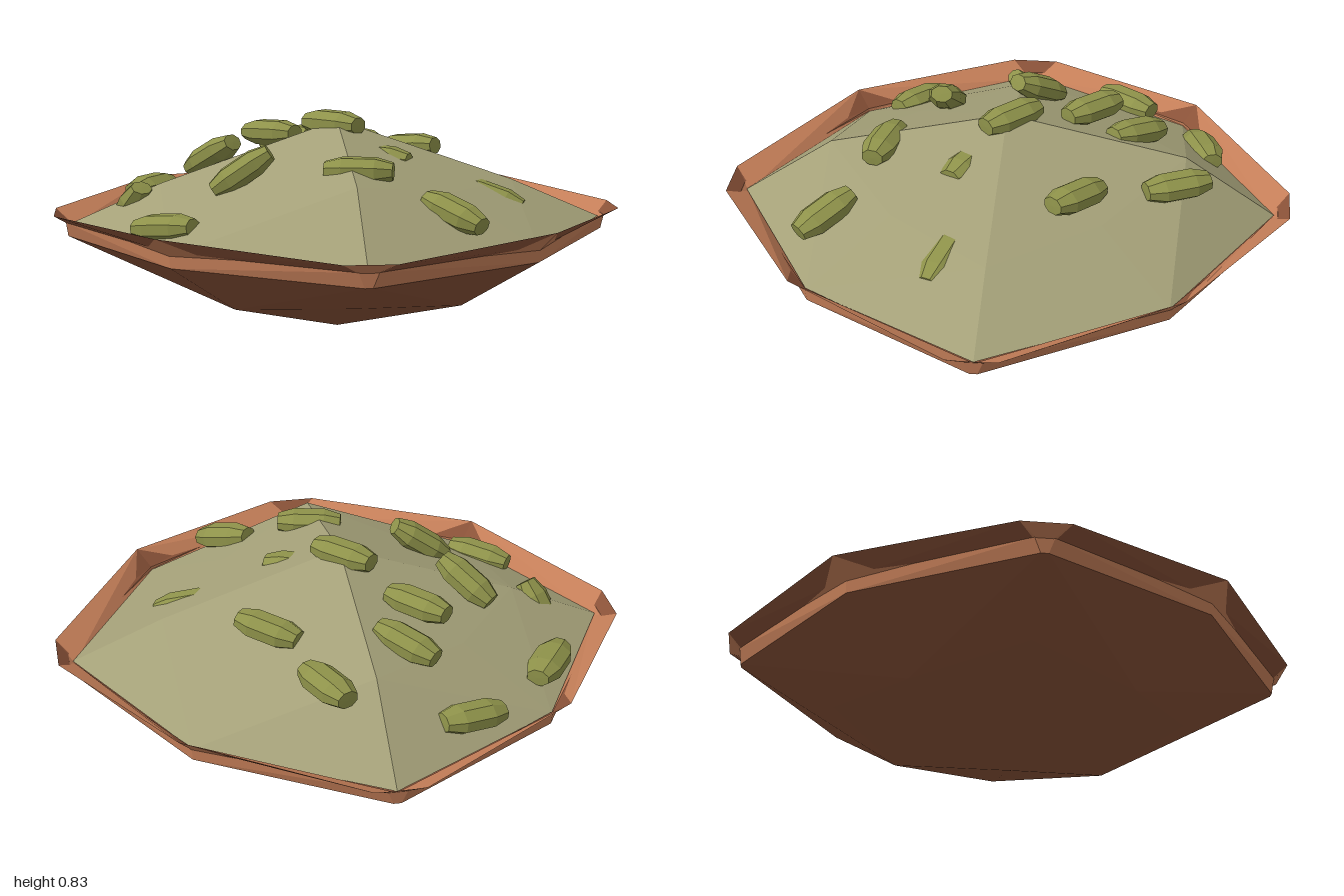
import * as THREE from 'three';

const paint = (color) => new THREE.MeshStandardMaterial({ color, flatShading: true, side: THREE.DoubleSide });

// Rounded-square ring of 12 points: four side middles and four bevelled corners.
// Corners alternate between two heights.
function ring(mid, long, short, yMid, yCorner = yMid, yOther = yCorner) {
  const pts = [];
  for (let q = 0; q < 4; q++) {
    const turn = (x, z, y) => {
      for (let k = 0; k < q; k++) [x, z] = [-z, x];
      pts.push([x, y, z * 0.98]);
    };
    const corner = q % 2 ? yOther : yCorner;
    turn(mid, 0, yMid);
    turn(long, short, corner);
    turn(short, long, corner);
  }
  return pts;
}

// Joins consecutive rings with triangles, skipping the collapsed ones
function loft(rings) {
  const pos = [];
  const same = (p, q) => p.every((v, k) => Math.abs(v - q[k]) < 1e-6);
  const tri = (a, b, c) => {
    if (!same(a, b) && !same(b, c) && !same(a, c)) pos.push(...a, ...b, ...c);
  };
  for (let r = 0; r < rings.length - 1; r++) {
    for (let i = 0; i < 12; i++) {
      const j = (i + 1) % 12;
      const a = rings[r][i], b = rings[r][j], c = rings[r + 1][j], d = rings[r + 1][i];
      // Mirror the diagonal so both halves of each side match
      if (i % 3 === 2) {
        tri(a, d, b);
        tri(b, d, c);
      } else {
        tri(a, d, c);
        tri(a, c, b);
      }
    }
  }
  const g = new THREE.BufferGeometry();
  g.setAttribute('position', new THREE.Float32BufferAttribute(pos, 3));
  g.computeVertexNormals();
  return g;
}

// Faceted pod lying along x, slightly flattened, with blunt ends
function seedGeometry() {
  const profile = [[0, -0.125], [0.044, -0.124], [0.068, -0.06], [0.068, 0.06], [0.044, 0.124], [0, 0.125]];
  const g = new THREE.LatheGeometry(profile.map(([r, y]) => new THREE.Vector2(r, y)), 8, Math.PI / 8);
  return g.rotateZ(-Math.PI / 2).scale(1, 0.75, 1);
}

export function createModel() {
  const model = new THREE.Group();
  const add = (name, geometry, material) => {
    const mesh = new THREE.Mesh(geometry, material);
    mesh.name = name;
    model.add(mesh);
    return mesh;
  };
  const brown = paint(0x8a5238);
  const clay = paint(0xc47e58);

  // Pointed bowl base
  const shoulder = ring(0.925, 0.74, 0.72, 0.37);
  const neck = ring(0.93, 0.76, 0.71, 0.425);
  const brim = ring(1, 0.83, 0.7, 0.485, 0.46);
  add('bowlBase', loft([
    ring(0, 0, 0, 0),
    ring(0.59, 0.48, 0.48, 0.165, 0.22),
    shoulder,
  ]), brown);

  // Short upright band, flared underside and lip sloping inward
  add('rimBand', loft([shoulder, neck]), clay);
  add('rimUnderside', loft([neck, brim]), brown);
  add('rimLip', loft([brim, ring(0.92, 0.72, 0.72, 0.405)]), clay);

  // Heaped filling: pyramid with two opposite corners raised
  add('mound', loft([
    ring(0.925, 0.725, 0.725, 0.415),
    ring(0.55, 0.48, 0.48, 0.58, 0.65, 0.565),
    ring(0, 0, 0, 0.8),
  ]), paint(0xa4a078));

  // Scattered seeds: x, y, z, yaw, tilt
  const seeds = [
    [-0.02, 0.785, 0, 0, 0],
    [-0.38, 0.715, -0.05, 0, 0.05],
    [-0.45, 0.665, -0.23, 0, 0.2],
    [-0.39, 0.66, 0.28, 0, 0.5],
    [-0.07, 0.65, 0.46, 0.7, 0.6],
    [0.35, 0.675, 0.3, 0.55, 0],
    [0.7, 0.55, 0.2, 0, -0.3],
    [0.02, 0.655, -0.42, 0.1, 0.1],
    [-0.34, 0.63, -0.57, -0.35, 0],
    [0.52, 0.523, -0.28, 0.4, -0.3],
    [0.19, 0.67, -0.01, 0.3, -0.05],
    [-0.76, 0.495, -0.28, 1.1, 0.1],
    [-0.8, 0.485, 0.2, -1.4, 0],
    [-0.57, 0.46, 0.54, -0.2, 0.9],
    [-0.16, 0.475, 0.77, 0.15, 0.1],
  ];
  const pod = seedGeometry();
  const green = paint(0x8e924a);
  for (const [x, y, z, yaw, tilt] of seeds) {
    const seed = add('seed', pod, green);
    seed.position.set(x, y, z);
    seed.rotation.set(0, yaw, tilt, 'YZX');
  }
  return model;
}
